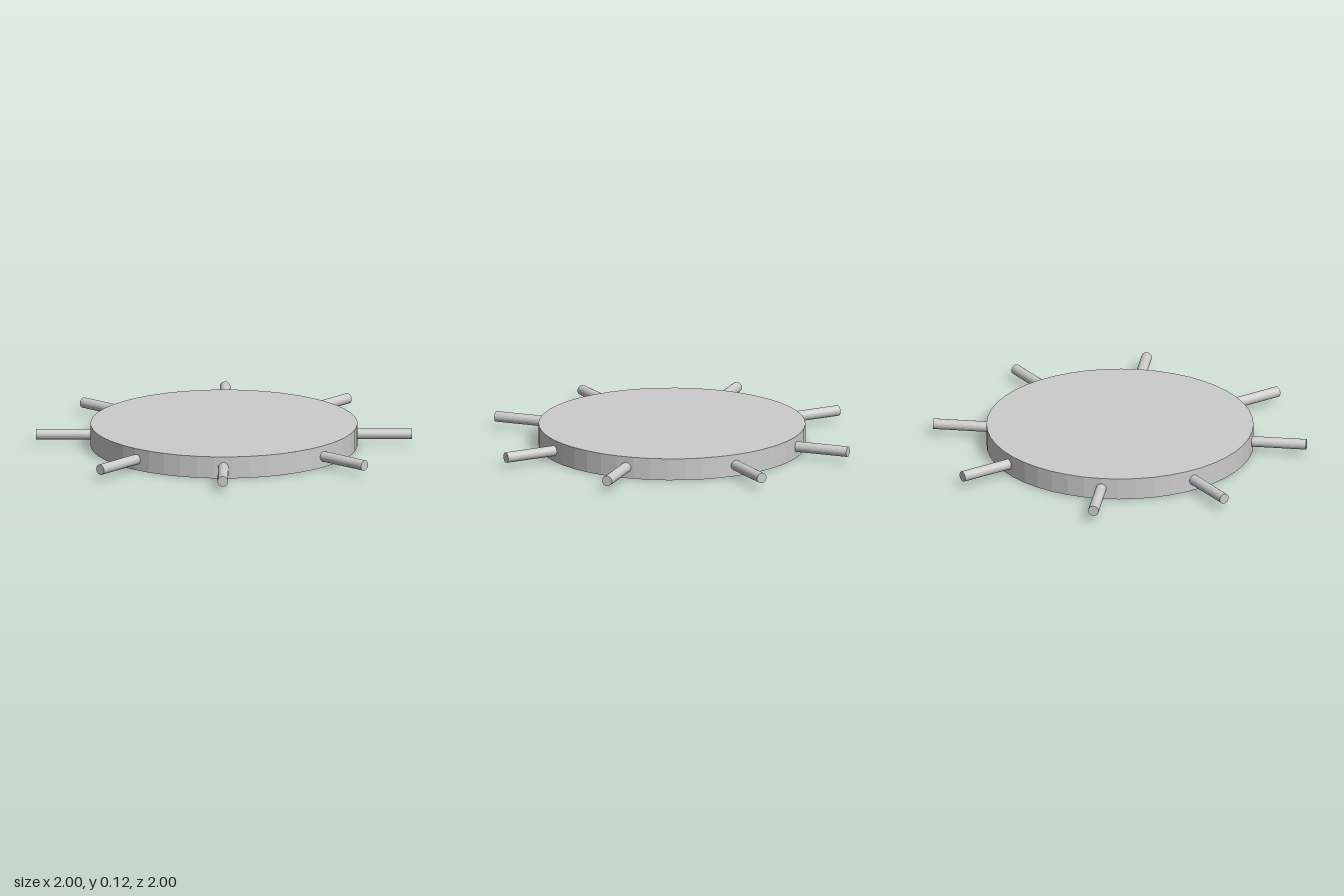
import * as THREE from 'three';

const RADIUS = 0.71;      // disc radius
const HEIGHT = 0.118;     // disc thickness
const ROD_RADIUS = 0.028;

export function createModel() {
  const model = new THREE.Group();
  model.name = 'spokedWheel';
  const material = new THREE.MeshStandardMaterial({ color: 0xcccccc, flatShading: true });

  // Solid round disc lying flat
  const disc = new THREE.Mesh(new THREE.CylinderGeometry(RADIUS, RADIUS, HEIGHT, 48), material);
  disc.name = 'disc';
  disc.position.y = HEIGHT / 2;
  model.add(disc);

  // Four rods pass through the centre, each giving two opposite handles
  const rodGeometry = new THREE.CylinderGeometry(ROD_RADIUS, ROD_RADIUS, 2, 24);
  rodGeometry.rotateZ(Math.PI / 2);
  [0, 41.8, 90.5, 131.3].forEach((degrees, i) => {
    const rod = new THREE.Mesh(rodGeometry, material);
    rod.name = `handleRod${i + 1}`;
    rod.position.y = HEIGHT / 2;
    rod.rotation.y = THREE.MathUtils.degToRad(degrees);
    model.add(rod);
  });

  return model;
}
